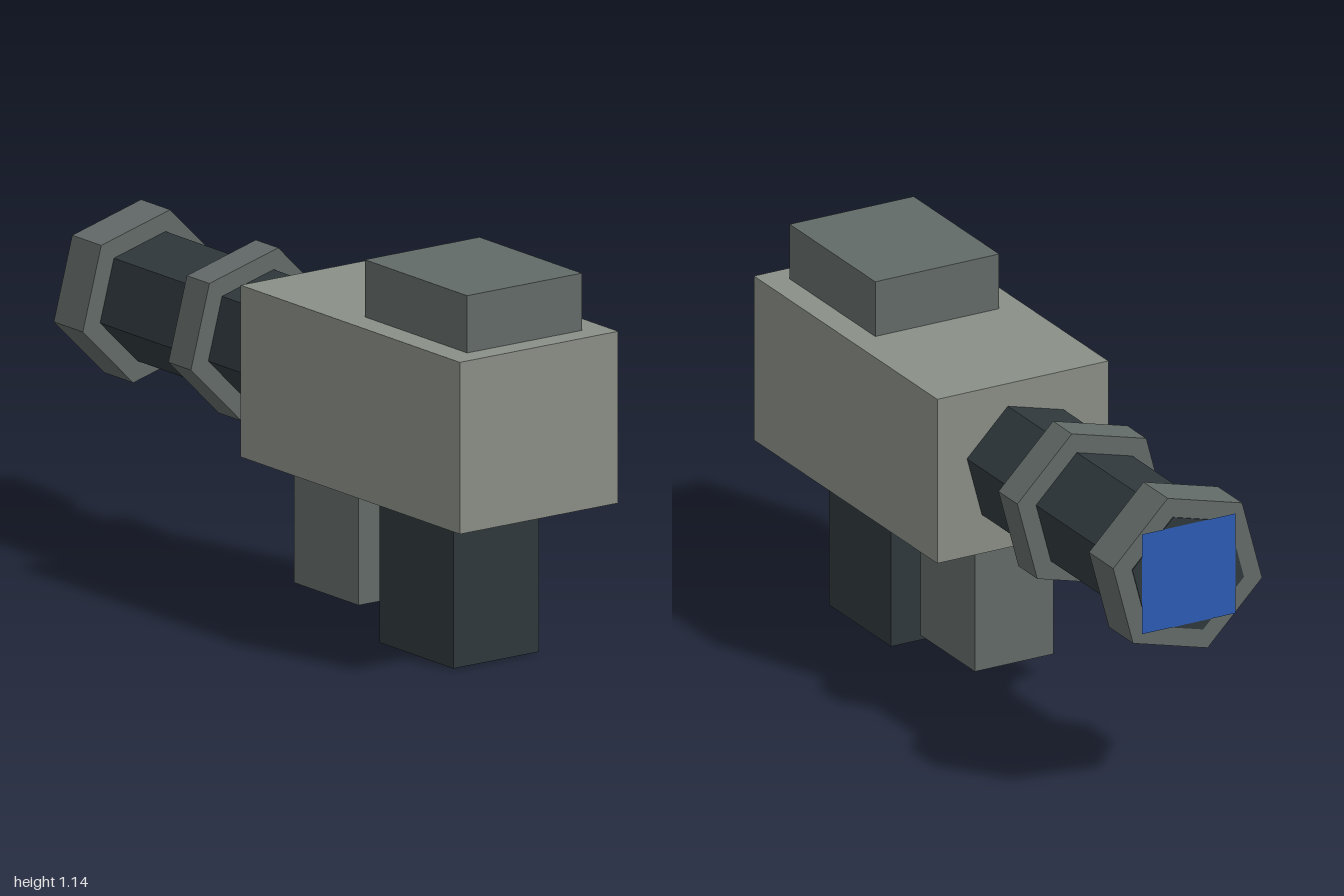
import * as THREE from 'three';

const mat = (color) => new THREE.MeshStandardMaterial({ color, flatShading: true });

export function createModel() {
  const model = new THREE.Group();
  const light = mat(0x898e86);
  const grey = mat(0x626a68);
  const dark = mat(0x2f383c);
  const blue = mat(0x2c5cb4);
  blue.side = THREE.DoubleSide;

  const add = (name, geometry, material) => {
    const mesh = new THREE.Mesh(geometry, material);
    mesh.name = name;
    model.add(mesh);
    return mesh;
  };

  // Box centred on x = 0, given by its half width and its y and z ranges
  const block = (name, halfWidth, y0, y1, z0, z1, material) =>
    add(name, new THREE.BoxGeometry(2 * halfWidth, y1 - y0, z1 - z0), material)
      .position.set(0, (y0 + y1) / 2, (z0 + z1) / 2);

  // Hexagonal prism along z, turned 15 degrees about the barrel axis
  const axisY = 0.72;
  const hexPrism = (name, radius, z0, z1, material) => {
    const g = new THREE.CylinderGeometry(radius, radius, z1 - z0, 6, 1, false, Math.PI / 4);
    g.rotateX(Math.PI / 2);
    add(name, g, material).position.set(0, axisY, (z0 + z1) / 2);
  };

  // Housing with the raised block on top
  block('body', 0.283, 0.465, 0.975, -0.05, 1, light);
  block('topBlock', 0.205, 0.975, 1.145, 0.44, 0.93, grey);

  // Grip and the shorter block ahead of it
  block('grip', 0.153, 0, 0.465, 0.44, 0.795, dark);
  block('lowerBlock', 0.13, 0.078, 0.465, 0, 0.31, grey);

  // Barrel with two collars
  hexPrism('barrel', 0.191, -0.997, -0.05, dark);
  hexPrism('middleCollar', 0.255, -0.445, -0.337, grey);
  hexPrism('endCollar', 0.255, -0.994, -0.855, grey);

  // Square lens across the barrel end
  const lens = add('lens', new THREE.PlaneGeometry(0.31, 0.31), blue);
  lens.rotation.y = Math.PI;
  lens.position.set(0, axisY, -1);

  return model;
}
